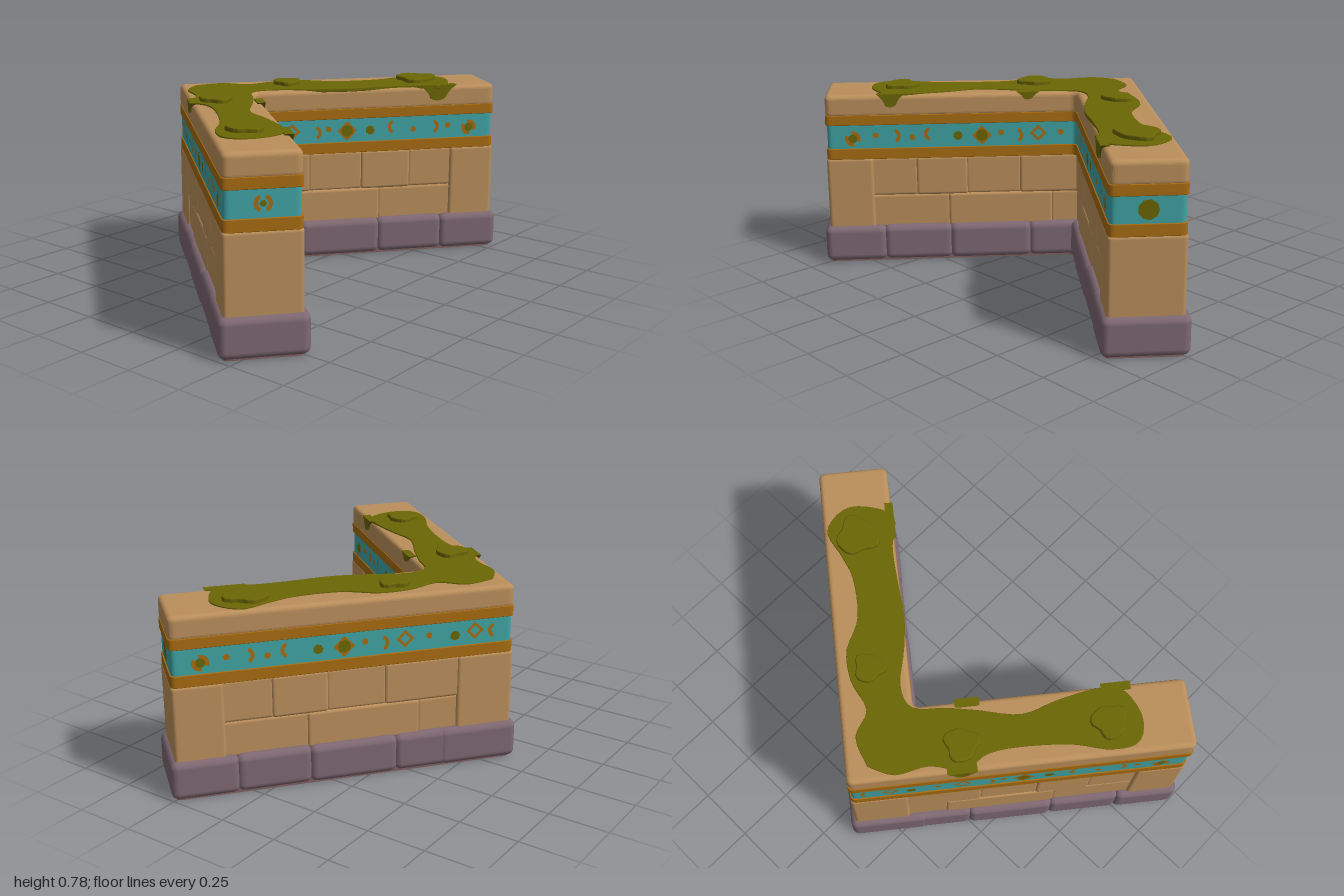
import * as THREE from 'three';
import { RoundedBoxGeometry } from 'three/addons/geometries/RoundedBoxGeometry.js';

const L = 1.44; // arm length
const W = 0.34; // arm thickness

const paint = (name, color) => {
  const m = new THREE.MeshStandardMaterial({ color });
  m.name = name;
  return m;
};

export function createModel() {
  const sand = paint('sandstone', 0xbb8f5b);
  const plum = paint('plum stone', 0x7e6872);
  const earth = paint('earthy underside', 0x805f60);
  const teal = paint('teal glaze', 0x40a4a5);
  const ochre = paint('ochre trim', 0xa86c12);
  const moss = paint('moss', 0x6b6604);

  const model = new THREE.Group();
  model.name = 'cornerWall';

  // Local frame: the outer corner is the origin, one arm runs along x, the other along z
  const wall = new THREE.Group();
  wall.name = 'wall';
  wall.position.set(-0.106, 0, -0.663);
  wall.rotation.y = -0.68;
  model.add(wall);

  const add = (parent, name, geometry, material) => {
    const mesh = new THREE.Mesh(geometry, material);
    mesh.name = name;
    parent.add(mesh);
    return mesh;
  };

  // Rounded stone, placed on arm 0 (along x) or arm 1 (along z)
  const stone = (name, arm, u0, u1, v0, v1, y0, y1, r, material) => {
    const du = u1 - u0, dv = v1 - v0;
    const geo = arm ? new RoundedBoxGeometry(dv, y1 - y0, du, 3, r)
      : new RoundedBoxGeometry(du, y1 - y0, dv, 3, r);
    const u = (u0 + u1) / 2, v = (v0 + v1) / 2;
    add(wall, name, geo, material).position.set(arm ? v : u, (y0 + y1) / 2, arm ? u : v);
  };

  // L-shaped outline with softened corners
  const outline = (inset, r) => {
    const a = inset, b = L - inset, c = W - inset;
    const p = [[a, a], [b, a], [b, c], [c, c], [c, b], [a, b]].map((q) => new THREE.Vector2(...q));
    const shape = new THREE.Shape();
    p.forEach((corner, i) => {
      const toward = (q) => corner.clone().add(q.clone().sub(corner).setLength(r));
      const start = toward(p[(i + 5) % 6]), end = toward(p[(i + 1) % 6]);
      if (i) shape.lineTo(start.x, start.y);
      else shape.moveTo(start.x, start.y);
      shape.quadraticCurveTo(corner.x, corner.y, end.x, end.y);
    });
    shape.closePath();
    return shape;
  };

  // Horizontal slab with rounded rims
  const slab = (parent, name, shape, y0, y1, bevel, material) => {
    const geo = new THREE.ExtrudeGeometry(shape, {
      depth: y1 - y0 - 2 * bevel, curveSegments: 6, bevelEnabled: bevel > 0,
      bevelThickness: bevel, bevelSize: bevel, bevelOffset: -bevel, bevelSegments: 5,
    });
    geo.rotateX(Math.PI / 2);
    add(parent, name, geo, material).position.y = y1 - bevel;
  };

  // Stacked courses: underside, recessed core, glazed frieze between two trims, coping
  slab(wall, 'underside', outline(0.018, 0.03), 0, 0.03, 0, earth);
  slab(wall, 'wallCore', outline(0.036, 0.015), 0.1, 0.5, 0, sand);
  slab(wall, 'lowerTrim', outline(0.023, 0.025), 0.473, 0.522, 0.003, ochre);
  slab(wall, 'frieze', outline(0.028, 0.025), 0.515, 0.635, 0, teal);
  slab(wall, 'upperTrim', outline(0.022, 0.025), 0.627, 0.672, 0.003, ochre);
  slab(wall, 'coping', outline(0.024, 0.03), 0.66, 0.76, 0.02, sand);

  // Plinth blocks, piers and bricks on both arms
  const plinth = [0, 0.25, 0.53, 0.885, 1.18, L];
  const upperRow = [0.25, 0.56, 0.8, 1.02, 1.23];
  const lowerRow = [0.25, 0.42, 0.88, 1.23];
  for (const arm of [0, 1]) {
    for (let i = 0; i < plinth.length - 1; i++) {
      const d = i % 2 ? 0.003 : 0;
      stone('plinthBlock', arm, plinth[i] - (i ? 0.012 : 0), plinth[i + 1], d, W - d, 0.004, 0.166, 0.03, plum);
    }
    stone('endPier', arm, 1.215, L - 0.021, 0.021, W - 0.021, 0.13, 0.479, 0.016, sand);
    for (const [row, y0, y1] of [[upperRow, 0.3, 0.478], [lowerRow, 0.15, 0.306]]) {
      for (let i = 0; i < row.length - 1; i++) {
        const d = 0.027 + ((i + (row === lowerRow ? 1 : 0)) % 2) * 0.005;
        stone('brick', arm, row[i], row[i + 1] + 0.008, d, W - d, y0, y1, 0.014, sand);
      }
    }
  }
  stone('cornerPier', 0, 0.021, 0.262, 0.021, 0.262, 0.13, 0.479, 0.016, sand);

  // Places a flat part on a vertical face: side is 'outer', 'inner' or 'end'
  const onFace = (mesh, arm, side, t, y, inset) => {
    const u = side === 'end' ? L - inset : t;
    const v = side === 'end' ? W / 2 : side === 'outer' ? inset : W - inset;
    mesh.position.set(arm ? v : u, y, arm ? u : v);
    const turn = { outer: [Math.PI, -Math.PI / 2], inner: [0, Math.PI / 2], end: [Math.PI / 2, 0] };
    mesh.rotation.y = turn[side][arm];
  };

  // Frieze ornaments, each made of one or more thin layers
  const arc = (start) => [new THREE.RingGeometry(0.019, 0.034, 12, 1, start, 2.3), ochre];
  const rhomb = [new THREE.RingGeometry(0.021, 0.037, 4), ochre];
  const leafDisc = [new THREE.CircleGeometry(0.021, 7), moss];
  const kinds = {
    diamond: [rhomb],
    mossyDiamond: [[new THREE.RingGeometry(0.025, 0.044, 4), ochre], [new THREE.CircleGeometry(0.027, 8), moss]],
    crescent: [arc(2)],
    hook: [arc(-1.1)],
    leaf: [leafDisc],
    hookedLeaf: [leafDisc, arc(2.6), arc(-0.5)],
    arcPair: [arc(2), arc(-1.1), [new THREE.CircleGeometry(0.013, 6), moss]],
    bigLeaf: [[new THREE.CircleGeometry(0.04, 9), moss]],
    dot: [[new THREE.CircleGeometry(0.014, 6), ochre]],
  };
  const ornament = (kind, arm, side, t, y) => kinds[kind].forEach((layer, k) =>
    onFace(add(wall, kind + 'Ornament', ...layer), arm, side, t, y, 0.0265 - k * 0.0006));
  const pattern = [
    [0.1, 'crescent'], [0.19, 'diamond'], [0.275, 'leaf'], [0.385, 'dot'], [0.485, 'diamond'],
    [0.585, 'hook'], [0.65, 'dot'], [0.735, 'mossyDiamond'], [0.84, 'leaf'], [0.955, 'crescent'],
    [1.04, 'dot'], [1.125, 'hook'], [1.2, 'dot'], [1.3, 'hookedLeaf'],
  ];
  for (const arm of [0, 1]) {
    pattern.forEach(([t, kind], i) => {
      const y = 0.575 + 0.008 * Math.sin(i * 2.3);
      ornament(kind, arm, 'outer', t, y);
      if (t > W + 0.03) ornament(kind, arm, 'inner', t, y);
    });
  }
  ornament('bigLeaf', 0, 'end', 0, 0.575);
  ornament('arcPair', 1, 'end', 0, 0.575);

  // Moss carpet on the coping, outlined in plan (x, z)
  const plan = [
    [-0.11, -0.52], [0.01, -0.47], [0.06, -0.36], [0.19, -0.32], [0.3, -0.24], [0.37, -0.11], [0.51, 0],
    [0.62, 0.04], [0.75, 0.08], [0.77, 0.21], [0.68, 0.3], [0.59, 0.32], [0.5, 0.22], [0.36, 0.115],
    [0.25, 0.04], [0.14, -0.07], [0.04, -0.19], [-0.06, -0.225], [-0.16, -0.13], [-0.255, -0.05], [-0.39, 0.06],
    [-0.45, 0.2], [-0.53, 0.35], [-0.61, 0.42], [-0.74, 0.39], [-0.8, 0.3], [-0.74, 0.2], [-0.62, 0.11],
    [-0.49, -0.03], [-0.41, -0.15], [-0.39, -0.265], [-0.28, -0.35], [-0.21, -0.47],
  ].map((p) => new THREE.Vector2(...p));
  const carpet = new THREE.Shape(new THREE.SplineCurve([...plan, plan[0]]).getPoints(130).slice(0, -1));
  slab(model, 'mossCarpet', carpet, 0.75, 0.766, 0.003, moss);

  // Raised moss tufts
  [[0.64, 0.15, 0.085], [0.18, -0.23, 0.06], [-0.31, -0.2, 0.068], [-0.66, 0.28, 0.068]].forEach(([x, z, r], k) => {
    const tuft = new THREE.Shape();
    for (let i = 0; i < 24; i++) {
      const a = (i / 24) * Math.PI * 2;
      const q = r * (1 + 0.13 * Math.sin(3 * a + k) + 0.07 * Math.sin(5 * a + 2 * k));
      tuft[i ? 'lineTo' : 'moveTo'](x + q * Math.cos(a), z + q * Math.sin(a));
    }
    slab(model, 'mossTuft', tuft, 0.755, 0.784, 0.006, moss);
  });

  // Moss tongues hanging over the edges
  const drip = (arm, side, t, width, drop) => {
    const s = new THREE.Shape();
    s.moveTo(-width, 0);
    s.quadraticCurveTo(-width * 0.5, -drop * 0.4, -width * 0.4, -drop * 0.85);
    s.quadraticCurveTo(0, -drop * 1.1, width * 0.4, -drop * 0.8);
    s.quadraticCurveTo(width * 0.5, -drop * 0.4, width, 0);
    s.closePath();
    const geo = new THREE.ExtrudeGeometry(s, { depth: 0.035, bevelEnabled: false });
    onFace(add(wall, 'mossDrip', geo, moss), arm, side, t, 0.766, 0.05);
  };
  drip(0, 'inner', 1.15, 0.085, 0.072);
  drip(1, 'inner', 1.13, 0.06, 0.06);
  drip(1, 'inner', 0.53, 0.05, 0.035);
  drip(1, 'outer', 0.48, 0.06, 0.05);

  return model;
}
